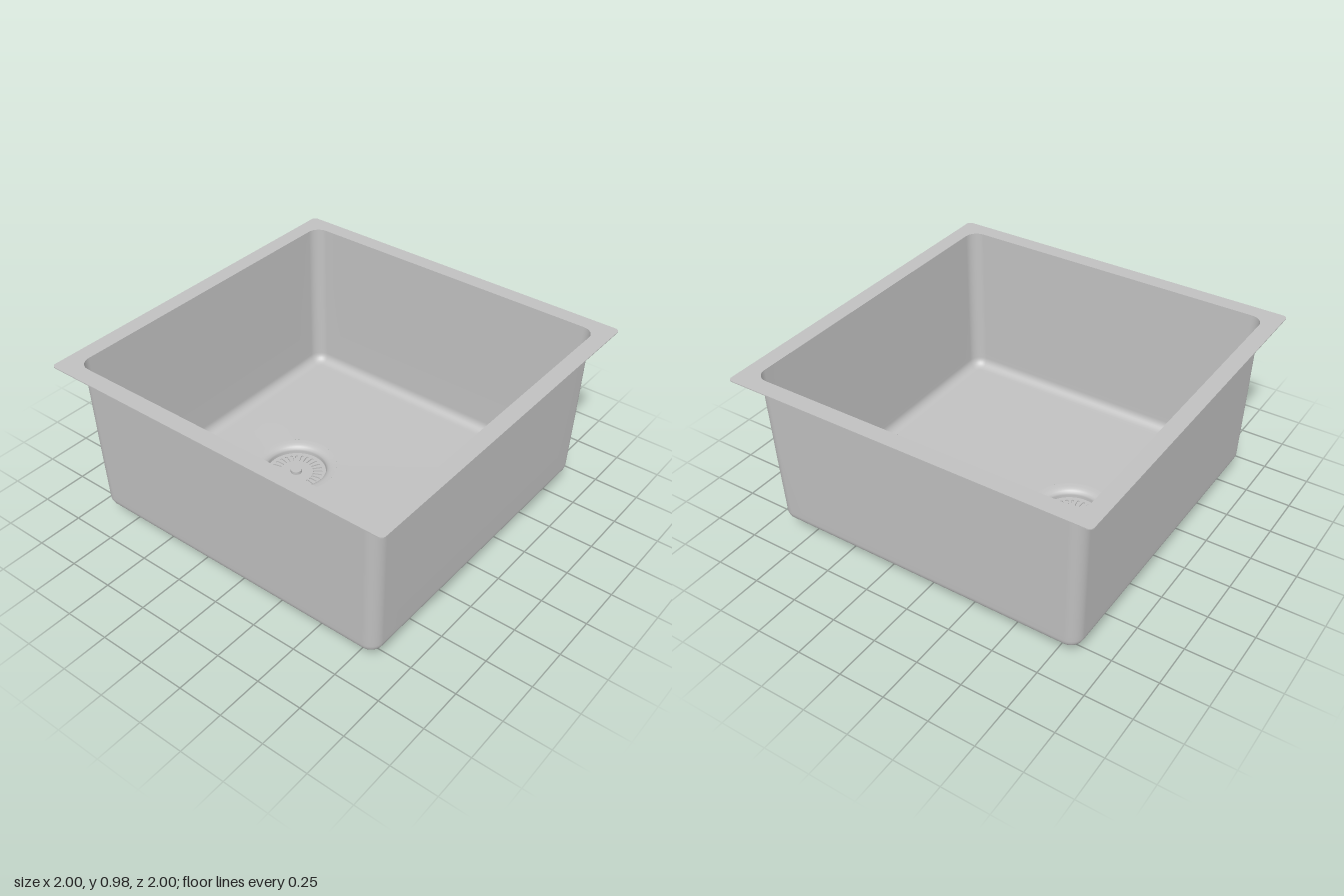
import * as THREE from 'three';

const DRAIN_Z = -0.325, DRAIN_R = 0.227, TOP = 0.975;

// Rounded square outline in the xz plane, with the straight sides subdivided
function squareLoop(half, r, arc = 8, side = 16) {
  const pts = [], c = half - r;
  for (let q = 0; q < 4; q++) {
    const mid = Math.PI / 4 + q * Math.PI / 2;
    const cx = Math.sign(Math.cos(mid)) * c, cz = Math.sign(Math.sin(mid)) * c;
    for (let i = 0; i <= arc; i++) {
      const a = (q + i / arc) * Math.PI / 2;
      pts.push([cx + r * Math.cos(a), cz + r * Math.sin(a)]);
    }
    const end = pts[pts.length - 1];
    const a = (q + 1) * Math.PI / 2;
    for (let i = 1; i < side; i++) {
      const d = 2 * c * i / side;
      pts.push([end[0] - Math.sin(a) * d, end[1] + Math.cos(a) * d]);
    }
  }
  return pts;
}

// Skin over a stack of closed loops, each point being [x, y, z]
function loft(rings) {
  const n = rings[0].length, index = [];
  for (let k = 0; k < rings.length - 1; k++) {
    for (let i = 0; i < n; i++) {
      const a = k * n + i, b = k * n + (i + 1) % n;
      index.push(a, b, a + n, b, b + n, a + n);
    }
  }
  const g = new THREE.BufferGeometry();
  g.setAttribute('position', new THREE.Float32BufferAttribute(rings.flat(2), 3));
  g.setIndex(index);
  g.computeVertexNormals();
  return g;
}

function toPath(loop, PathType) {
  return new PathType(loop.map(([x, z]) => new THREE.Vector2(x, z)));
}

export function createModel() {
  const group = new THREE.Group();
  const steel = new THREE.MeshStandardMaterial({ color: 0xc0c0c0, side: THREE.DoubleSide });
  steel.name = 'brushed steel';
  const add = (name, geometry, y = 0, z = 0) => {
    const mesh = new THREE.Mesh(geometry, steel);
    mesh.name = name;
    mesh.position.set(0, y, z);
    group.add(mesh);
  };

  // Flat mounting rim with the bowl opening cut out
  const rim = toPath(squareLoop(1, 0.025), THREE.Shape);
  rim.holes.push(toPath(squareLoop(0.911, 0.07), THREE.Path));
  const rimGeo = new THREE.ExtrudeGeometry(rim, { depth: 0.005, bevelEnabled: false });
  rimGeo.rotateX(Math.PI / 2);
  add('rim', rimGeo, TOP);

  // Bowl: tapered walls, rounded bottom edge, floor falling to the drain
  const rings = [];
  const ring = (half, r, y) => rings.push(squareLoop(half, r).map(([x, z]) => [x, y, z]));
  ring(0.911, 0.07, TOP);
  ring(0.909, 0.07, 0.9);
  ring(0.898, 0.07, 0.5);
  ring(0.888, 0.07, 0.18);
  const fillet = 0.055;
  for (let i = 0; i <= 8; i++) {
    const a = i / 8 * Math.PI / 2;
    ring(0.887 - fillet * (1 - Math.cos(a)), 0.07 - 0.045 * (1 - Math.cos(a)), 0.15 - fillet * Math.sin(a));
  }
  const edge = rings[rings.length - 1];
  for (const t of [0.05, 0.3, 0.6, 0.9, 1]) {
    rings.push(edge.map(([x, y, z]) => {
      const a = Math.atan2(z - DRAIN_Z, x);
      const cx = DRAIN_R * Math.cos(a), cz = DRAIN_Z + DRAIN_R * Math.sin(a);
      return [x + (cx - x) * t, y + (0.073 - y) * t, z + (cz - z) * t];
    }));
  }
  add('bowl', loft(rings));

  // Drain: flared collar, outlet wall and closed base
  const collar = [[0.167, 0], [0.167, 0.04], [0.17, 0.05], [0.178, 0.06], [0.19, 0.067], [0.205, 0.071], [DRAIN_R, 0.073]];
  add('drainCollar', new THREE.LatheGeometry(collar.map(p => new THREE.Vector2(...p)), 64), 0, DRAIN_Z);
  const base = new THREE.CircleGeometry(0.167, 64);
  base.rotateX(Math.PI / 2);
  add('drainBase', base, 0, DRAIN_Z);

  // Strainer plate with a ring of radial slots
  const plate = new THREE.Shape().absarc(0, 0, 0.166, 0, Math.PI * 2);
  const slots = 28, inner = 0.1, outer = 0.138, w = 0.007;
  for (let i = 0; i < slots; i++) {
    const a = i / slots * Math.PI * 2, c = Math.cos(a), s = Math.sin(a);
    const slot = new THREE.Path();
    slot.absarc(outer * c, outer * s, w, a - Math.PI / 2, a + Math.PI / 2);
    slot.absarc(inner * c, inner * s, w, a + Math.PI / 2, a + Math.PI * 1.5);
    slot.closePath();
    plate.holes.push(slot);
  }
  const plateGeo = new THREE.ExtrudeGeometry(plate, { depth: 0.008, bevelEnabled: false, curveSegments: 24 });
  plateGeo.rotateX(-Math.PI / 2);
  add('strainerPlate', plateGeo, 0.017, DRAIN_Z);

  // Strainer knob
  add('strainerKnob', new THREE.CylinderGeometry(0.031, 0.031, 0.02, 32), 0.033, DRAIN_Z);

  return group;
}
